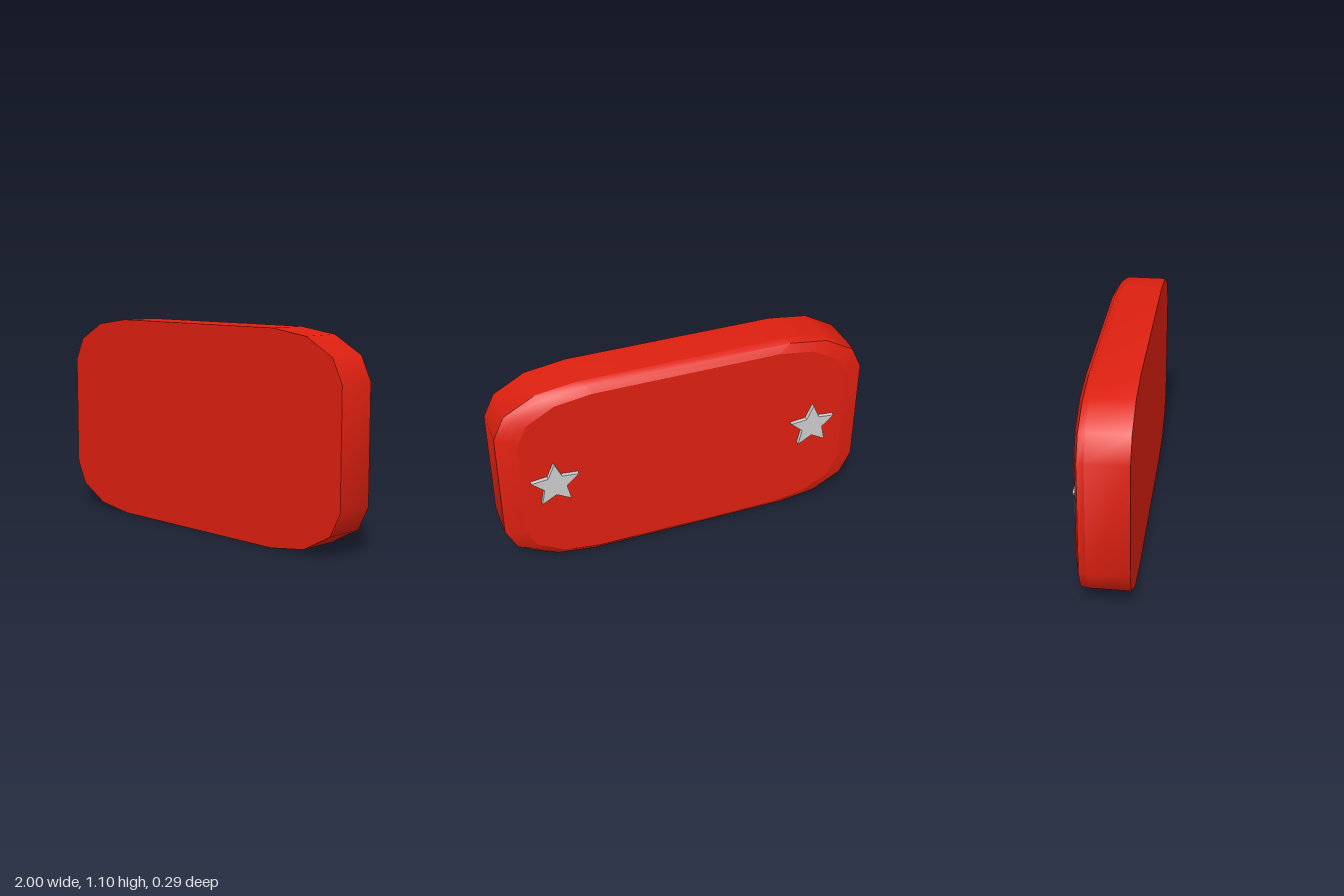
import * as THREE from 'three';
import { mergeGeometries, toCreasedNormals } from 'three/addons/utils/BufferGeometryUtils.js';

const CY = 0.5525;

// One quarter of the rounded outline, mirrored into a counterclockwise ring
const quarter = [[1, 0.303], [0.94, 0.426], [0.775, 0.517], [0.56, 0.5475]];
const flipped = [...quarter].reverse();
const outline = [
  ...quarter,
  ...flipped.map(([x, y]) => [-x, y]),
  ...quarter.map(([x, y]) => [-x, -y]),
  ...flipped.map(([x, y]) => [x, -y]),
];

function ring(z, sx = 1, sy = 1, dx = 0) {
  return outline.map(([x, y]) => [x * sx + dx, CY + y * sy, z]);
}

function fromTriangles(tris, crease) {
  const g = new THREE.BufferGeometry();
  g.setAttribute('position', new THREE.Float32BufferAttribute(tris.flat(2), 3));
  g.computeVertexNormals();
  return crease ? toCreasedNormals(g, crease) : g;
}

// Skin between consecutive rings, running front to back
function skin(rings) {
  const tris = [];
  for (let k = 0; k < rings.length - 1; k++) {
    rings[k].forEach((a, j) => {
      const n = (j + 1) % outline.length;
      const b = rings[k][n], c = rings[k + 1][j], d = rings[k + 1][n];
      tris.push([a, c, d], [a, d, b]);
    });
  }
  return fromTriangles(tris, 0.65);
}

function cap(r, z, back) {
  const center = [0, CY, z];
  return fromTriangles(r.map((p, j) => {
    const q = r[(j + 1) % r.length];
    return back ? [center, q, p] : [center, p, q];
  }));
}

function starGeometry(outer, inner, depth) {
  const points = Array.from({ length: 10 }, (_, i) => {
    const a = Math.PI / 2 + (i * Math.PI) / 5;
    const r = i % 2 ? inner : outer;
    return new THREE.Vector2(r * Math.cos(a), r * Math.sin(a));
  });
  return new THREE.ExtrudeGeometry(new THREE.Shape(points), { depth, bevelEnabled: false });
}

export function createModel() {
  const model = new THREE.Group();
  model.name = 'starPlate';

  // Plate: straight wall, two-step bevel at the back, flat faces;
  // the middle bevel ring stays flush with the wall on the -x end
  const front = ring(0.147);
  const wallEnd = ring(-0.065);
  const bevelMid = ring(-0.1, 0.975, 0.976, -0.025);
  const back = ring(-0.125, 0.9, 0.91);
  const plate = new THREE.Mesh(
    mergeGeometries([
      skin([front, wallEnd]),
      skin([wallEnd, bevelMid, back]),
      cap(front, 0.147, false),
      cap(back, -0.125, true),
    ]),
    new THREE.MeshStandardMaterial({ color: 0xdd2010 }),
  );
  plate.name = 'plate';
  model.add(plate);

  // Raised stars on the back face
  const starGeo = starGeometry(0.132, 0.062, 0.027);
  const grey = new THREE.MeshStandardMaterial({ color: 0xcccccc });
  for (const [name, x] of [['leftStar', 0.727], ['rightStar', -0.715]]) {
    const star = new THREE.Mesh(starGeo, grey);
    star.name = name;
    star.position.set(x, 0.553, -0.147);
    model.add(star);
  }
  return model;
}
